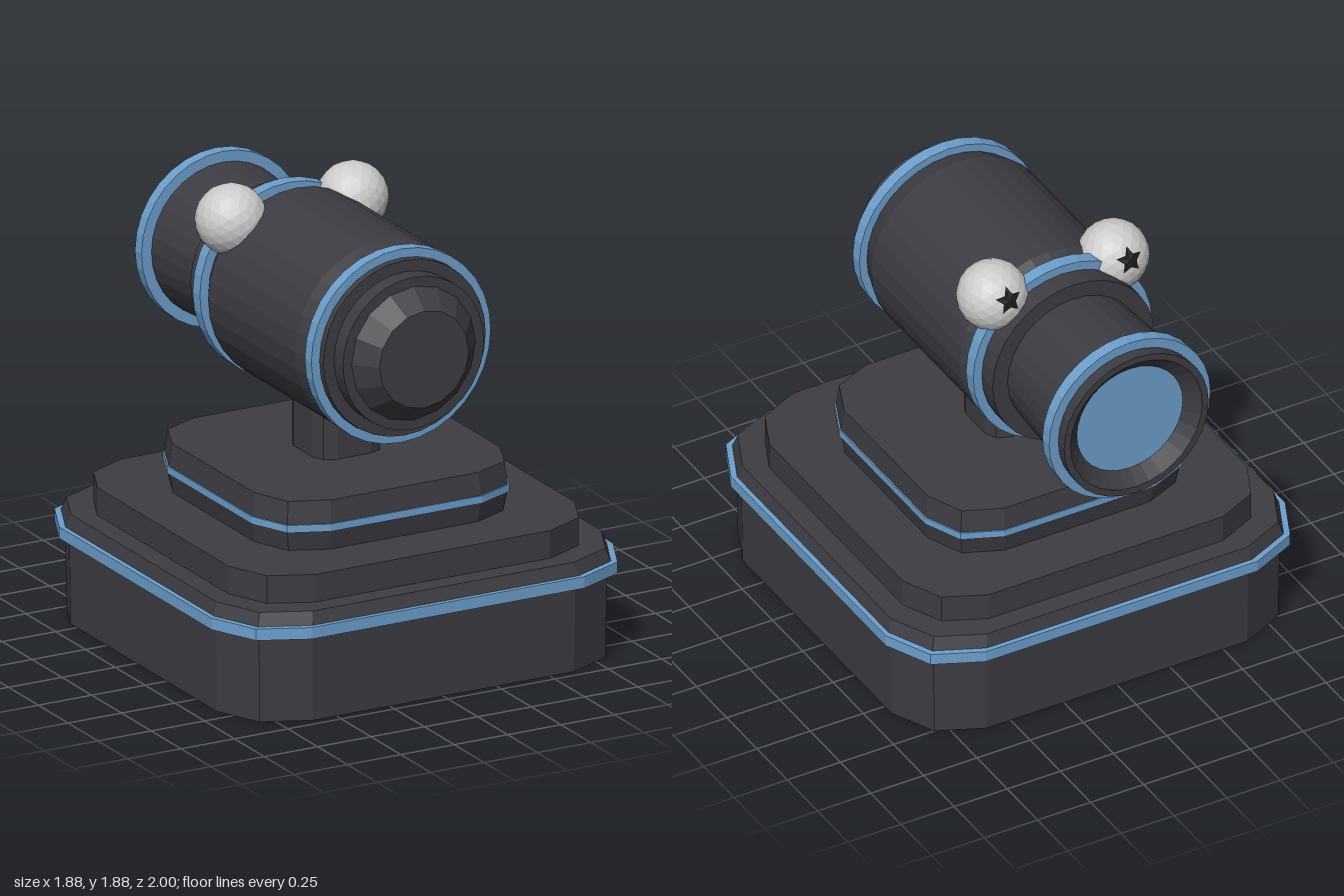
import * as THREE from 'three';

const paint = (color) => new THREE.MeshStandardMaterial({ color, flatShading: true });

export function createModel() {
  const group = new THREE.Group();
  const dark = paint(0x3c3c42), blue = paint(0x6c9fcc), grey = paint(0xcccccc), black = paint(0x18181a);
  const AXIS_Y = 1.41, BASE_Z = 0.06;

  function add(name, geometry, material, x = 0, y = 0, z = 0) {
    const mesh = new THREE.Mesh(geometry, material);
    mesh.name = name;
    mesh.position.set(x, y, z);
    group.add(mesh);
    return mesh;
  }

  // Solid with a square plan and two-facet corners; sections are [halfWidth, y], bottom first
  function block(sections, cut = 0.32, mid = 0.1) {
    const corner = [[1, 1 - cut], [1 - mid, 1 - mid], [1 - cut, 1]];
    const plan = [];
    for (let k = 0, pts = corner; k < 4; k++) {
      plan.push(...pts);
      pts = pts.map(([x, z]) => [-z, x]);
    }
    const n = plan.length, pos = [], idx = [];
    for (const [w, y] of sections) for (const [x, z] of plan) pos.push(x * w, y, z * w);
    for (let s = 0; s < sections.length - 1; s++) {
      for (let i = 0; i < n; i++) {
        const a = s * n + i, b = s * n + (i + 1) % n;
        idx.push(a, a + n, b, b, a + n, b + n);
      }
    }
    const top = (sections.length - 1) * n;
    for (let i = 1; i < n - 1; i++) idx.push(0, i, i + 1, top, top + i + 1, top + i);
    const g = new THREE.BufferGeometry();
    g.setAttribute('position', new THREE.Float32BufferAttribute(pos, 3));
    g.setIndex(idx);
    g.computeVertexNormals();
    return g;
  }

  // Turned part lying along z; profile is [radius, z], back to front
  function turned(profile, sides = 32) {
    return new THREE.LatheGeometry(profile.map(([r, z]) => new THREE.Vector2(r, z)), sides)
      .rotateX(Math.PI / 2);
  }

  // Stepped pedestal
  const tiers = [
    ['baseBlock', dark, [[0.9, 0], [0.905, 0.38]]],
    ['baseTrim', blue, [[0.94, 0.37], [0.94, 0.42]]],
    ['baseLedge', dark, [[0.92, 0.415], [0.9, 0.475]]],
    ['middleStep', dark, [[0.81, 0.47], [0.81, 0.595]]],
    ['upperStep', dark, [[0.57, 0.59], [0.588, 0.695], [0.575, 0.81]], 0.4, 0.12],
    ['upperTrim', blue, [[0.592, 0.68], [0.592, 0.712]], 0.4, 0.12],
    ['post', dark, [[0.155, 0.8], [0.155, 1.06]], 0.5, 0.15],
  ];
  for (const [name, mat, sections, cut, mid] of tiers) {
    add(name, block(sections, cut, mid), mat, 0, 0, BASE_Z);
  }

  // Barrel with a flared, hollowed back end
  add('barrel', turned([
    [0.21, -0.91], [0.31, -1], [0.34, -1], [0.31, -0.48], [0.38, -0.48], [0.38, -0.325],
    [0.415, -0.27], [0.415, 0.46], [0.385, 0.55], [0.38, 0.635], [0.33, 0.635], [0.33, 0.71], [0.27, 0.71],
  ]), dark, 0, AXIS_Y);
  add('frontCap', turned([[0.29, 0.7], [0.29, 0.71], [0.21, 0.8], [0, 0.8]], 16), dark, 0, AXIS_Y);
  add('lens', new THREE.CircleGeometry(0.215, 32).rotateY(Math.PI), blue, 0, AXIS_Y, -0.912);

  // Trim rings
  for (const [name, r, z, depth] of [
    ['frontRing', 0.42, 0.578, 0.055], ['middleRing', 0.42, -0.36, 0.06], ['backRing', 0.38, -0.918, 0.055],
  ]) {
    add(name, new THREE.CylinderGeometry(r, r, depth, 32).rotateX(Math.PI / 2), blue, 0, AXIS_Y, z);
  }

  // Small star-shaped pupil wrapped on a ball, facing +z before it is turned
  function star(ball, outer, inner) {
    const pos = [0, 0, ball], idx = [];
    for (let i = 0; i < 10; i++) {
      const r = i % 2 ? inner : outer, a = Math.PI / 2 + i * Math.PI / 5;
      pos.push(r * Math.cos(a), r * Math.sin(a), Math.sqrt(ball * ball - r * r));
      idx.push(0, i + 1, (i + 1) % 10 + 1);
    }
    const g = new THREE.BufferGeometry();
    g.setAttribute('position', new THREE.Float32BufferAttribute(pos, 3));
    g.setIndex(idx);
    g.computeVertexNormals();
    return g.rotateX(-0.38).rotateY(Math.PI);
  }

  // Pair of eyes looking backwards
  for (const [side, x] of [['left', 0.278], ['right', -0.29]]) {
    add(side + 'Eye', new THREE.IcosahedronGeometry(0.15, 3), grey, x, 1.73, -0.3);
    add(side + 'Pupil', star(0.154, 0.06, 0.03), black, x, 1.73, -0.3);
  }

  return group;
}
